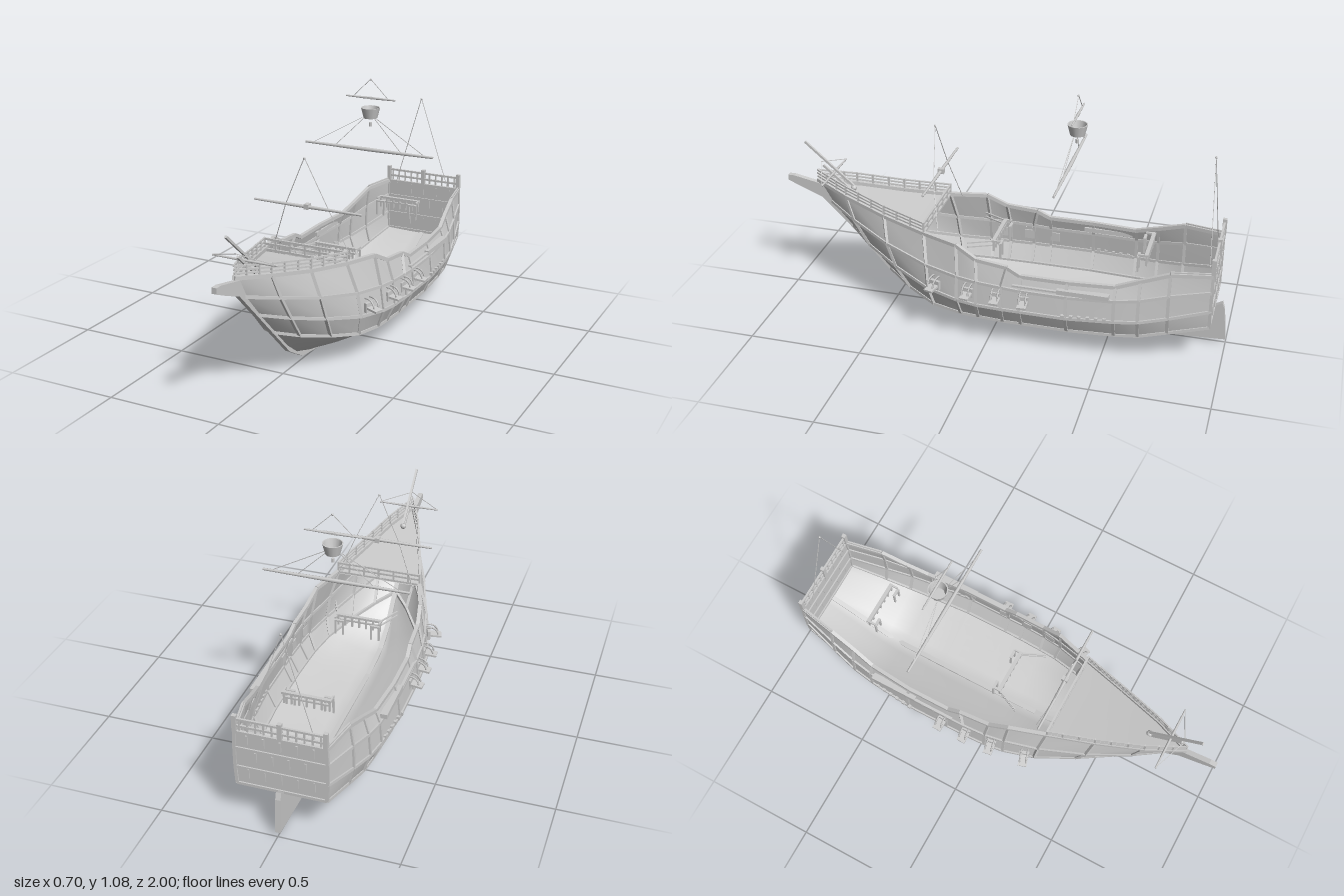
import * as THREE from 'three';
import { mergeGeometries } from 'three/addons/utils/BufferGeometryUtils.js';

const V = (x, y, z) => new THREE.Vector3(x, y, z);
const pts = (list) => list.map((p) => V(...p));
const mir = (p) => V(-p.x, p.y, p.z);
const material = new THREE.MeshStandardMaterial({ color: 0xcccccc, side: THREE.DoubleSide });

// Hull lines from bow to stern, each point [x, y, z] on the left side
const keelLine = pts([[0, .22, .585], [0, .11, .475], [0, .055, .4], [0, .024, .3], [0, .014, .13], [0, .012, .04], [0, .012, -.07],
  [0, .012, -.15], [0, .012, -.35], [0, .02, -.55], [0, .045, -.65], [0, .1, -.77], [0, .175, -.94]]);
const chine = pts([[0, .22, .585], [.08, .188, .5], [.16, .155, .38], [.225, .127, .25], [.25, .117, .12], [.255, .115, .04], [.26, .113, -.07],
  [.26, .113, -.15], [.26, .113, -.35], [.245, .115, -.55], [.235, .12, -.65], [.215, .145, -.77], [.185, .18, -.94]]);
const lowWale = pts([[0, .34, .705], [.09, .3, .59], [.17, .255, .44], [.245, .215, .27], [.282, .2, .13], [.293, .195, .04], [.298, .195, -.07],
  [.298, .195, -.15], [.298, .195, -.35], [.28, .2, -.55], [.265, .205, -.65], [.235, .225, -.77], [.19, .26, -.94]]);
const highWale = pts([[0, .45, .805], [.085, .41, .66], [.165, .36, .48], [.232, .32, .28], [.268, .305, .13], [.282, .3, .04], [.287, .295, -.07],
  [.288, .29, -.15], [.288, .29, -.35], [.273, .295, -.55], [.258, .305, -.65], [.233, .33, -.77], [.19, .35, -.94]]);
const gunwale = pts([[0, .545, .86], [.07, .515, .7], [.135, .478, .5], [.193, .452, .3], [.242, .443, .14], [.258, .396, .05], [.265, .382, -.09],
  [.27, .352, -.15], [.27, .352, -.35], [.253, .353, -.55], [.236, .386, -.65], [.22, .426, -.77], [.187, .426, -.94]]);
const rows = [chine, lowWale, highWale, gunwale];

// Square bar between two points
function beam(a, b, w = 0.01, h = w) {
  const g = new THREE.BoxGeometry(w, h, a.distanceTo(b));
  g.lookAt(b.clone().sub(a));
  const m = a.clone().add(b).multiplyScalar(0.5);
  return g.translate(m.x, m.y, m.z);
}
const chain = (p, w) => p.slice(1).map((q, i) => beam(p[i], q, w));
const box = (w, h, d, x, y, z) => new THREE.BoxGeometry(w, h, d).translate(x, y, z);
// Thin round spar, tapered toward both ends
function spar(half, r, y, z) {
  return [1, -1].map((s) => new THREE.CylinderGeometry(r * 0.6, r, half, 8)
    .rotateZ(-s * Math.PI / 2).translate(s * half / 2, y, z));
}

// Surface over a grid of rows
function loft(grid, flip = false) {
  const n = grid[0].length, idx = [];
  for (let j = 0; j < grid.length - 1; j++) for (let i = 0; i < n - 1; i++) {
    const a = j * n + i, b = a + 1, c = a + n, d = c + 1;
    idx.push(...(flip ? [a, c, b, b, c, d] : [a, b, c, b, d, c]));
  }
  const g = new THREE.BufferGeometry().setFromPoints(grid.flat());
  g.setIndex(idx);
  g.computeVertexNormals();
  return g;
}

export function createModel() {
  const root = new THREE.Group();
  const add = (name, geos) => {
    const mesh = new THREE.Mesh(mergeGeometries(geos), material);
    mesh.name = name;
    root.add(mesh);
  };
  const both = (f) => [1, -1].flatMap((s) => f(s, (p) => (s > 0 ? p.clone() : mir(p))));

  // Slightly rounded bottom, one sheet so it shades smoothly across the keel
  const bottom = [];
  for (let j = 0; j <= 5; j++) {
    const t = j / 5;
    bottom.push(keelLine.map((k, i) => {
      const p = k.clone().lerp(chine[i], t);
      p.y -= 0.1 * Math.sin(Math.PI * t) * Math.max(0, chine[i].y - k.y) * t;
      return p;
    }));
  }
  add('hullBottom', [loft([...bottom.slice(1).reverse().map((r) => r.map(mir)), ...bottom])]);

  // Three strakes on each side, with wales and ribs
  add('hullSides', both((s, m) => [0, 1, 2].map((j) => loft([rows[j].map(m), rows[j + 1].map(m)], s < 0))));
  add('wales', both((s, m) => rows.flatMap((r, j) => chain(r.map(m), j === 3 ? 0.016 : 0.013))));
  add('ribs', both((s, m) => chine.slice(1).flatMap((p, k) => chain(rows.map((r) => m(r[k + 1])), 0.013))));

  // Flat transom with bands and short staggered timbers
  const last = chine.length - 1;
  add('transom', [loft([rows.map((r) => r[last]), rows.map((r) => mir(r[last]))])]);
  const transomTrim = rows.map((r) => beam(r[last], mir(r[last]), 0.012));
  [0.235, 0.32, 0.395].forEach((y, j) => {
    for (let i = 0; i < 5 - (j % 2); i++) transomTrim.push(box(0.008, 0.045, 0.01, (i - 2 + (j % 2) / 2) * 0.068, y, -0.943));
  });
  add('transomTrim', transomTrim);

  // Keel and stem in one piece, with the fin below the stern
  const stem = new THREE.Shape([[1, .555], [.97, .555], [.74, .51], [.79, .45], [.45, .105], [.34, .045], [.15, .02], [-.6, .03], [-.94, .18],
    [-.975, .2], [-.985, .17], [-1, .02], [-.6, 0], [.17, 0], [.35, .022], [.46, .085], [.84, .465], [.93, .5], [1, .53]]
    .map((p) => new THREE.Vector2(...p)));
  add('keelAndStem', [new THREE.ExtrudeGeometry(stem, { depth: 0.022, bevelEnabled: false })
    .rotateY(-Math.PI / 2).translate(0.011, 0, 0)]);

  // Foredeck and its rails
  const deckEdge = gunwale.slice(0, 4).map((p) => p.clone().setY(p.y - 0.01));
  add('foredeck', [loft([deckEdge, deckEdge.map(mir)])]);
  const up = (p, h) => p.clone().setY(p.y + h);
  const fore = gunwale.slice(0, 4);
  add('foreRails', [
    ...both((s, m) => [0.018, 0.033, 0.048].flatMap((h) => chain(fore.map((p) => m(up(p, h))), 0.007))),
    ...both((s, m) => fore.slice(1).flatMap((p, i) => [0, 0.33, 0.67].map((t) => {
      const q = m(p.clone().lerp(fore[i], t));
      return beam(q, up(q, 0.052), 0.008);
    }))),
    ...[0.0, 0.025, 0.046].map((h) => beam(up(fore[3], h), mir(up(fore[3], h)), 0.009)),
    ...[-2, -1, 0, 1, 2].map((i) => box(0.008, 0.05, 0.008, i * 0.07, 0.475, 0.3)),
  ]);

  // Stern rail and low quarter rails
  const stern = [-0.185, 0, 0.185].map((x) => box(0.018, 0.075, 0.018, x, 0.465, -0.94));
  for (const y of [0.455, 0.485]) stern.push(box(0.37, 0.009, 0.009, 0, y, -0.94));
  for (let i = -5; i <= 5; i++) stern.push(box(0.007, 0.05, 0.007, i * 0.033, 0.46, -0.94));
  stern.push(...both((s) => [beam(V(s * .22, .438, -.77), V(s * .188, .438, -.94), 0.006)]));
  add('sternRails', stern);

  // Inner rails with returned ends
  const innerRail = (z, y, dz) => [
    box(0.21, 0.01, 0.016, 0, y, z), box(0.2, 0.008, 0.008, 0, y - 0.022, z),
    ...[-3, -2, -1, 0, 1, 2, 3].map((i) => box(0.008, 0.05, 0.008, i * 0.032, y - 0.025, z)),
    ...both((s) => [box(0.04, 0.008, 0.012, s * 0.082, y - 0.012, z + dz),
      box(0.008, 0.008, Math.abs(dz), s * 0.1, y, z + dz / 2),
      ...[0.065, 0.1].map((x) => box(0.008, 0.07, 0.008, s * x, y - 0.045, z + dz))]),
  ];
  add('aftInnerRail', innerRail(-0.65, 0.432, 0.035));
  add('foreInnerRail', [...innerRail(0.015, 0.405, -0.03),
    ...both((s) => [0.405, 0.385].map((y) => beam(V(s * .1, y, .02), V(s * .145, y, .12), 0.006)))]);

  // Port frames and open lids hung on curved arms
  const ports = [[.23, .262, .3], [.075, .284, .12], [-.05, .29, 0], [-.17, .292, -.05]];
  add('portLids', both((s) => ports.flatMap(([z, x, turn]) => {
    const bend = new THREE.QuadraticBezierCurve3(V(-.01, .04, 0), V(.035, .045, 0), V(.042, .005, 0));
    const arms = [-.014, .014].map((d) => new THREE.TubeGeometry(bend, 6, .004, 5).translate(0, 0, d));
    const lid = box(0.055, 0.009, 0.04, 0.03, 0, 0).rotateZ(-0.1);
    const frame = box(0.014, 0.042, 0.044, 0, 0, 0);
    return [...arms, lid, frame].map((g) => g.rotateY(s > 0 ? -turn : Math.PI + turn).translate(s * x, 0.247, z));
  })));

  // Channel boards with their fittings
  add('channels', both((s) => [
    box(0.03, 0.02, 0.22, s * 0.283, 0.315, -0.42), box(0.012, 0.008, 0.2, s * 0.292, 0.315, -0.22),
    ...[0, 1, 2, 3, 4, 5].map((i) => box(0.018, 0.016, 0.014, s * (0.302 - i * 0.004), 0.205, -0.34 - i * 0.035)),
  ]));

  // Yards and the bowsprit
  add('mainYard', spar(0.315, 0.009, 0.765, -0.295));
  add('topYard', [...spar(0.12, 0.006, 0.995, -0.32), box(0.03, 0.008, 0.012, 0, 0.995, -0.32)]);
  add('foreYard', [...spar(0.25, 0.008, 0.66, 0.28), box(0.02, 0.022, 0.028, 0, 0.662, 0.278)]);
  add('spritYard', spar(0.145, 0.006, 0.59, 0.78));
  add('bowsprit', [beam(V(0, .535, .69), V(0, .725, .91), 0.01), beam(V(0, .51, .7), V(0, .62, .83), 0.01),
    new THREE.SphereGeometry(0.014, 8, 6).translate(0, 0.525, 0.69)]);

  // Crow's nest: open tub with an inner wall, rim and floor, and a block below
  add('crowsNest', [
    new THREE.CylinderGeometry(0.043, 0.031, 0.047, 16, 1, true).translate(0, 0.9285, -0.32),
    new THREE.CylinderGeometry(0.038, 0.027, 0.047, 16, 1, true).translate(0, 0.9285, -0.32),
    new THREE.RingGeometry(0.038, 0.043, 16).rotateX(-Math.PI / 2).translate(0, 0.952, -0.32),
    new THREE.CircleGeometry(0.031, 16).rotateX(Math.PI / 2).translate(0, 0.905, -0.32),
    new THREE.CylinderGeometry(0.007, 0.007, 0.018, 8).translate(0, 0.875, -0.32),
  ]);

  // Ropes and the small knobs where they meet
  const R = 0.0025;
  add('ropes', both((s) => [
    beam(V(0, 1.08, -.32), V(s * .085, .997, -.32), R),
    beam(V(s * .035, .905, -.31), V(s * .27, .77, -.295), R),
    beam(V(s * .025, .905, -.31), V(s * .16, .77, -.295), R),
    beam(V(0, .875, .3), V(s * .1, .66, .28), R),
    beam(V(s * .1, .66, .28), V(s * .18, .46, .24), R),
    beam(V(0, .875, -.895), V(s * .135, .44, -.92), R),
    beam(V(0, .635, .84), V(s * .14, .592, .78), R),
  ]));
  add('ropeKnobs', [[1.078, -.32], [.872, .3], [.872, -.895]].map(([y, z]) => new THREE.SphereGeometry(0.005, 8, 6).translate(0, y, z)));
  return root;
}
